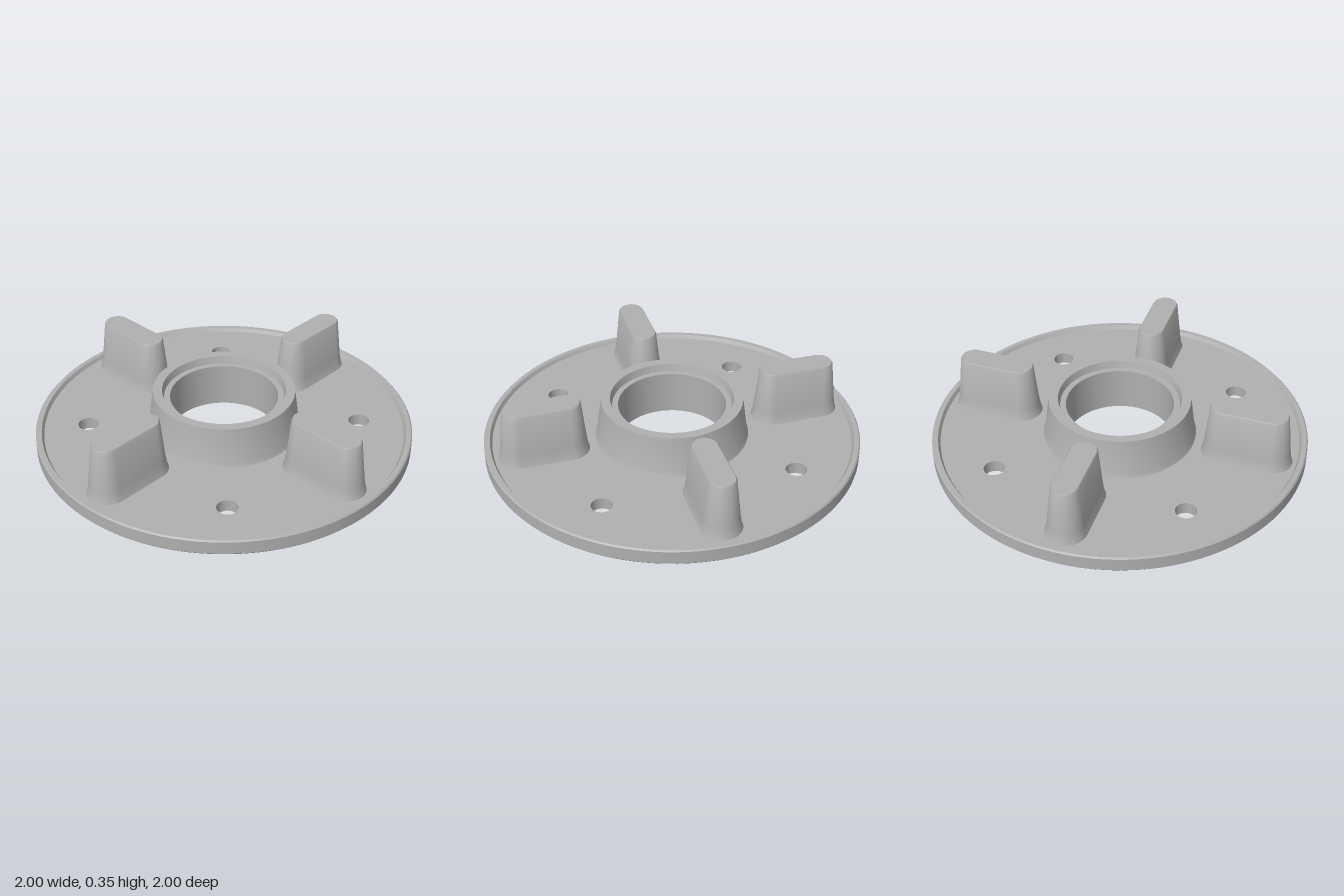
import * as THREE from 'three';
import { toCreasedNormals } from 'three/addons/utils/BufferGeometryUtils.js';

const SEG = 96;
const FLOOR = 0.065; // height of the recessed plate surface

// Surface of revolution; profile runs counter-clockwise (outside on the right)
function turned(profile) {
  const points = profile.map(([r, y]) => new THREE.Vector2(r, y));
  return toCreasedNormals(new THREE.LatheGeometry(points, SEG), 0.45);
}

// Flat ring with a circle of bolt holes, lying on y = 0
function plateGeometry() {
  const circle = (Target, x, y, r) => new Target().absarc(x, y, r, 0, Math.PI * 2, false);
  const shape = circle(THREE.Shape, 0, 0, 0.957);
  shape.holes.push(circle(THREE.Path, 0, 0, 0.35));
  for (let i = 0; i < 4; i++) {
    const a = i * Math.PI / 2;
    shape.holes.push(circle(THREE.Path, 0.725 * Math.cos(a), 0.725 * Math.sin(a), 0.055));
  }
  const geo = new THREE.ExtrudeGeometry(shape, { depth: FLOOR, bevelEnabled: false, curveSegments: SEG });
  geo.rotateX(-Math.PI / 2);
  return toCreasedNormals(geo, 0.45);
}

// Tapered slot-shaped lug: stacked capsule outlines, closed on top
function lugGeometry() {
  const half = 0.135, arc = 16;
  const levels = [[FLOOR - 0.005, 0.109], [0.085, 0.1], [0.13, 0.093], [0.345, 0.07], [0.355, 0.064]];
  const count = 2 * (arc + 1);
  const pos = [], index = [];
  for (const [y, r] of levels) {
    for (let j = 0; j < count; j++) {
      const end = j <= arc ? 0 : 1;
      const a = -Math.PI / 2 + end * Math.PI + Math.PI * (j - end * (arc + 1)) / arc;
      pos.push((end ? -half : half) + r * Math.cos(a), y, -r * Math.sin(a));
    }
  }
  const top = (levels.length - 1) * count;
  pos.push(0, levels[levels.length - 1][0], 0);
  for (let j = 0; j < count; j++) {
    const k = (j + 1) % count;
    for (let base = 0; base < top; base += count) {
      index.push(base + j, base + k, base + count + k, base + j, base + count + k, base + count + j);
    }
    index.push(top + count, top + j, top + k);
  }
  const geo = new THREE.BufferGeometry();
  geo.setAttribute('position', new THREE.Float32BufferAttribute(pos, 3));
  geo.setIndex(index);
  return toCreasedNormals(geo, 0.5);
}

export function createModel() {
  const model = new THREE.Group();
  model.name = 'flange';
  const metal = new THREE.MeshStandardMaterial({ color: 0xb0b0b0 });
  metal.name = 'grey metal';

  const add = (name, geometry) => {
    const mesh = new THREE.Mesh(geometry, metal);
    mesh.name = name;
    model.add(mesh);
    return mesh;
  };

  add('plate', plateGeometry());

  // Raised outer lip with small chamfers
  add('rim', turned([
    [0.957, 0], [0.993, 0], [1, 0.008], [1, 0.077], [0.993, 0.085], [0.968, 0.085], [0.957, FLOOR],
  ]));

  // Central boss with through bore and stepped seat
  add('hub', turned([
    [0.285, 0], [0.35, 0], [0.35, 0.03], [0.408, FLOOR], [0.4, 0.085], [0.375, 0.28],
    [0.326, 0.28], [0.316, 0.24], [0.285, 0.24], [0.285, 0],
  ]));

  // Four lugs on the diagonals
  const lug = lugGeometry();
  for (let i = 0; i < 4; i++) {
    const holder = new THREE.Group();
    holder.name = 'lugHolder' + (i + 1);
    const mesh = new THREE.Mesh(lug, metal);
    mesh.name = 'lug';
    mesh.position.x = 0.695;
    holder.add(mesh);
    holder.rotation.y = Math.PI / 4 + i * Math.PI / 2;
    model.add(holder);
  }
  return model;
}
